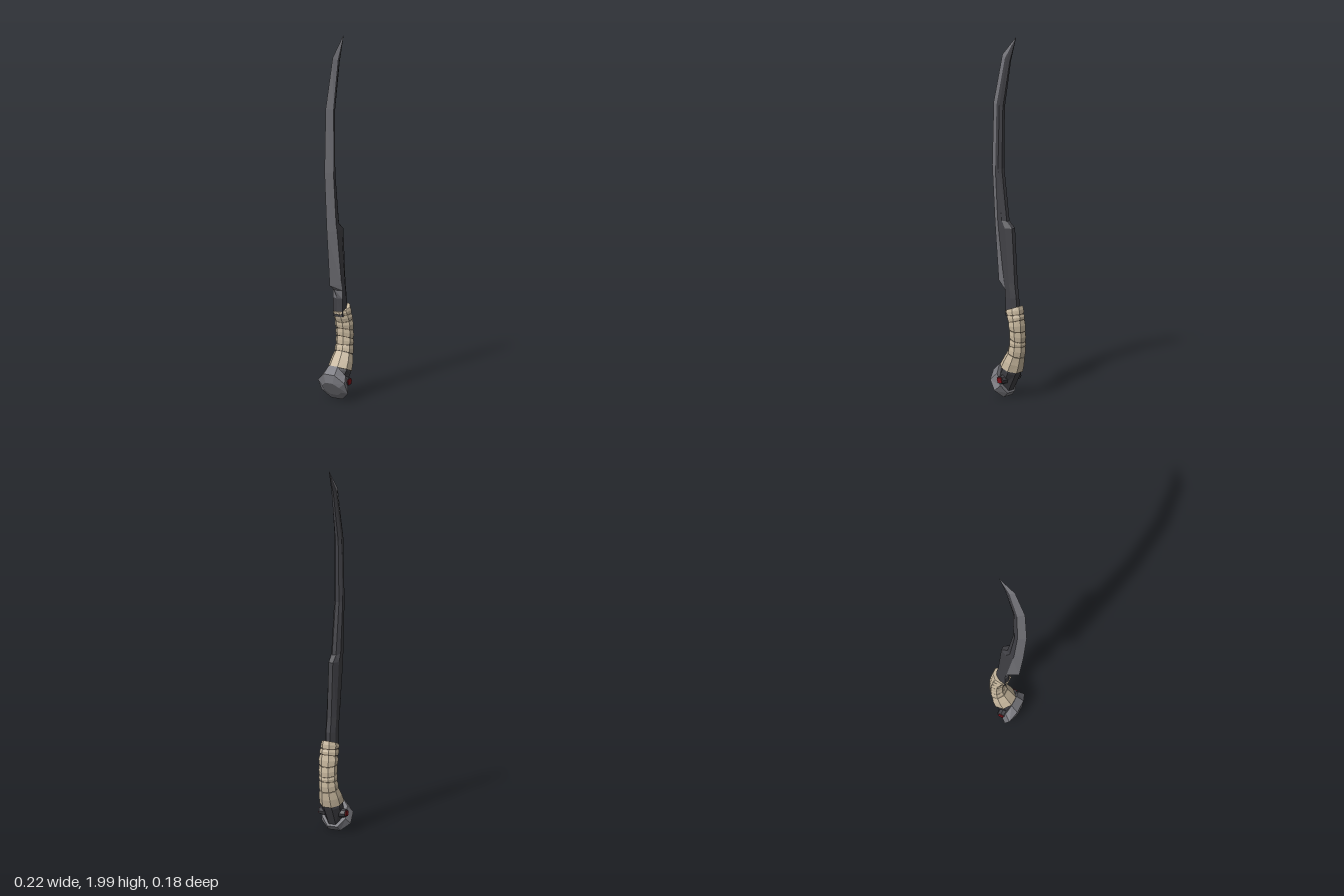
import * as THREE from 'three';

const mat = (name, color) => {
  const m = new THREE.MeshStandardMaterial({ color, flatShading: true });
  m.name = name;
  return m;
};

// Joins rings of equal length into a closed solid; columnMat picks a material per side column
function loft(rings, columnMat = () => 0) {
  const n = rings[0].length, sets = [[], []];
  const mid = (r) => r.reduce((s, p) => s.add(p), new THREE.Vector3()).divideScalar(n);
  const first = mid(rings[0]), last = mid(rings[rings.length - 1]);
  for (let j = 0; j < n; j++) {
    const k = (j + 1) % n, out = sets[columnMat(j)];
    for (let i = 0; i < rings.length - 1; i++) {
      const a = rings[i][j], b = rings[i][k], c = rings[i + 1][k], d = rings[i + 1][j];
      out.push([a, b, c], [a, c, d]);
    }
    const e = rings[rings.length - 1];
    sets[0].push([first, rings[0][k], rings[0][j]], [last, e[j], e[k]]);
  }
  // Turn the faces outward
  const volume = sets.flat().reduce((s, [a, b, c]) => s + a.dot(b.clone().cross(c)), 0);
  const geo = new THREE.BufferGeometry();
  const points = [];
  sets.forEach((tris, index) => {
    geo.addGroup(points.length, tris.length * 3, index);
    tris.forEach(([a, b, c]) => points.push(...(volume < 0 ? [a, c, b] : [a, b, c])));
  });
  geo.setFromPoints(points);
  geo.computeVertexNormals();
  return geo;
}

// Octagonal ring spanning two side-profile points, with half-width hz
function octagon([xl, yl], [xr, yr], hz, scale = 1) {
  const ring = [], r = scale / Math.cos(Math.PI / 8);
  for (let i = 0; i < 8; i++) {
    const a = (i + 0.5) * Math.PI / 4;
    const u = Math.cos(a) * r / 2;
    ring.push(new THREE.Vector3(
      (xl + xr) / 2 + (xr - xl) * u,
      (yl + yr) / 2 + (yr - yl) * u,
      Math.sin(a) * r * hz));
  }
  return ring;
}

export function createModel() {
  const group = new THREE.Group();
  const steel = mat('edge steel', 0x78787e);
  const dark = mat('dark steel', 0x404045);
  const cloth = mat('grip wrap', 0xc9b99f);
  const groove = mat('grip groove', 0x655848);
  const red = mat('red gem', 0x7c1018);

  const add = (name, geo, material) => {
    const m = new THREE.Mesh(geo, material);
    m.name = name;
    group.add(m);
    return m;
  };

  // Blade: edge y, edge x, bevel x, spine x, spine y, half thickness
  const bladeRing = ([ye, xe, xb, xs, ys, t]) => {
    const xc = xb + (xs - xb) * 0.55, ym = (ye + ys) / 2;
    const side = [[xb, ym, t], [xc, ym, t * 0.95], [xs, ys, t * 0.4]];
    return [
      new THREE.Vector3(xe, ye, 0),
      ...side.map(([x, y, z]) => new THREE.Vector3(x, y, z)),
      ...side.reverse().map(([x, y, z]) => new THREE.Vector3(x, y, -z)),
    ];
  };
  const bladeRows = [
    [2.0, 0.055, 0.0555, 0.056, 2.0, 0.0005],
    [1.89, -0.04, -0.012, 0.015, 1.86, 0.013],
    [1.62, -0.1, -0.063, -0.03, 1.6, 0.022],
    [1.27, -0.11, -0.067, -0.035, 1.26, 0.027],
    [0.985, -0.093, -0.048, 0.0, 0.975, 0.03],
    [0.94, -0.09, -0.042, 0.037, 0.94, 0.032],
    [0.64, -0.065, -0.003, 0.055, 0.64, 0.032],
    [0.61, -0.025, 0.003, 0.06, 0.6, 0.032],
    [0.56, -0.002, 0.006, 0.066, 0.56, 0.032],
  ];
  add('blade', loft(bladeRows.map(bladeRing), (j) => (j === 0 || j === 6 ? 1 : 0)), [dark, steel]);

  // Tang running into the grip
  const tangRows = [[0.56, -0.002, 0.006, 0.066, 0.56, 0.032], [0.46, -0.004, 0.006, 0.068, 0.46, 0.032]];
  add('tang', loft(tangRows.map(bladeRing)), dark);

  // Grip: curved inner and outer profile lines
  const line = (pts) => new THREE.CatmullRomCurve3(pts.map(([x, y, z]) => new THREE.Vector3(x, y, z)));
  const inner = line([[-0.008, 0.485, 0], [0.018, 0.42, 0], [0.026, 0.34, 0], [0.015, 0.27, 0], [-0.033, 0.19, 0]]);
  // The outer line's z holds the half-width
  const outer = line([[0.088, 0.52, 0.043], [0.1, 0.43, 0.05], [0.105, 0.33, 0.048], [0.101, 0.25, 0.05], [0.08, 0.15, 0.064]]);
  const gripRing = (t, tilt, scale) => {
    const clamp = (v) => THREE.MathUtils.clamp(v, 0, 1);
    const a = inner.getPoint(clamp(t - tilt)), b = outer.getPoint(clamp(t + tilt));
    return octagon([a.x, a.y], [b.x, b.y], b.z, scale);
  };
  const core = [];
  for (let i = 0; i <= 8; i++) core.push(gripRing(0.01 + 0.98 * i / 8, 0, 0.9));
  add('gripCore', loft(core), groove);

  // Wrapped bands with slightly uneven slant
  const stops = [0, 0.1, 0.22, 0.36, 0.5, 0.62, 0.77, 1];
  const tilts = [0, 0.025, -0.01, 0.02, 0.03, -0.01, 0.02, 0];
  for (let i = 0; i < stops.length - 1; i++) {
    const gap = 0.007, s = stops[i] + (i ? gap : 0), e = stops[i + 1] - (i < 6 ? gap : 0);
    add('gripBand', loft([
      gripRing(s, tilts[i], 0.96),
      gripRing((s + e) / 2, (tilts[i] + tilts[i + 1]) / 2, 1.02),
      gripRing(e, tilts[i + 1], 0.98),
    ]), cloth);
  }

  // Pommel neck and faceted cap
  add('pommelNeck', loft([
    octagon([-0.015, 0.2], [0.075, 0.155], 0.055),
    octagon([-0.015, 0.185], [0.066, 0.135], 0.058),
    octagon([-0.03, 0.17], [0.02, 0.045], 0.05),
  ]), dark);
  add('pommelCap', loft([
    octagon([-0.034, 0.193], [0.02, 0.033], 0.072),
    octagon([-0.072, 0.152], [-0.002, 0.01], 0.09),
    octagon([-0.072, 0.105], [-0.025, 0.035], 0.058),
  ]), steel);

  // Side bosses with inset gems
  for (const s of [1, -1]) {
    const boss = add('boss', new THREE.CylinderGeometry(0.022, 0.028, 0.045, 8).rotateX(s * Math.PI / 2), dark);
    boss.position.set(0.006, 0.112, s * 0.056);
    const gem = add('gem', new THREE.BoxGeometry(0.028, 0.028, 0.008), red);
    gem.position.set(0.005, 0.112, s * 0.079);
    gem.rotation.z = 0.15;
  }
  return group;
}
